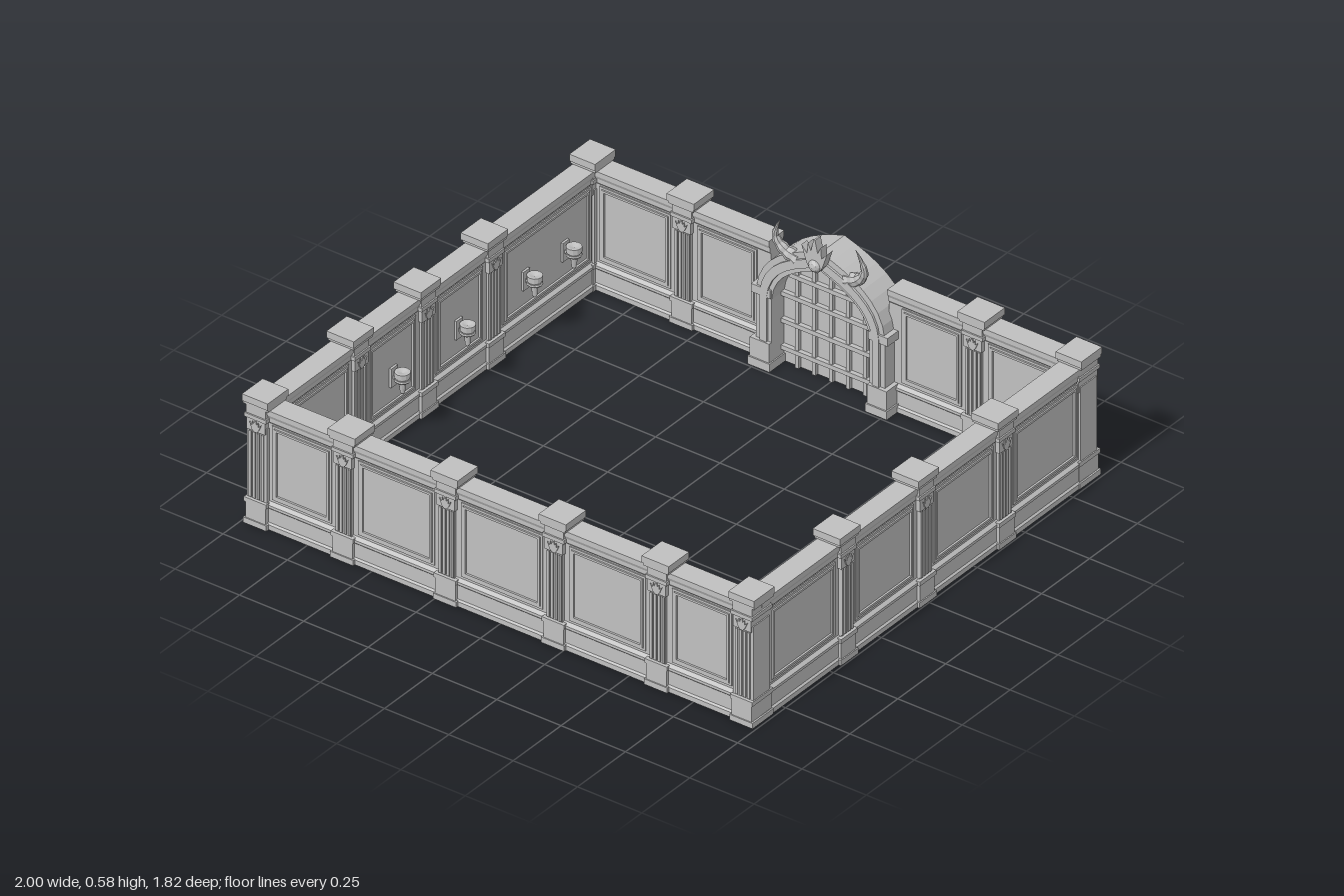
import * as THREE from 'three';

const stone = new THREE.MeshStandardMaterial({ color: 0xc0c0c0, flatShading: true });
stone.name = 'grey stone';

function add(parent, name, geometry, x = 0, y = 0, z = 0) {
  const mesh = new THREE.Mesh(geometry, stone);
  mesh.name = name;
  mesh.position.set(x, y, z);
  parent.add(mesh);
  return mesh;
}

// Box standing on its given bottom height
function block(parent, name, w, h, d, x, y, z) {
  return add(parent, name, new THREE.BoxGeometry(w, h, d), x, y + h / 2, z);
}

function extrude(shape, depth, segments = 6) {
  return new THREE.ExtrudeGeometry(shape, { depth, bevelEnabled: false, curveSegments: segments });
}

// Symmetric shape from the points of its right half, bottom to top
function mirrored(half) {
  const left = half.map(([x, y]) => [-x, y]).reverse();
  return new THREE.Shape([...half, ...left].map(([x, y]) => new THREE.Vector2(x, y)));
}

const wallProfile = mirrored([
  [0.042, 0], [0.042, 0.018], [0.036, 0.024], [0.036, 0.075], [0.041, 0.08], [0.041, 0.09],
  [0.03, 0.1], [0.03, 0.39], [0.034, 0.395], [0.034, 0.41], [0.04, 0.422], [0.04, 0.44],
]);

const crest = mirrored([
  [0.012, 0], [0.03, 0.025], [0.05, 0.085], [0.028, 0.06], [0.025, 0.1], [0.013, 0.075], [0.003, 0.12],
]);

// Wall run along local x, with framed panels on both faces between its pillars
function wall(parent, name, stops, x, z, turn) {
  const group = new THREE.Group();
  group.name = name;
  const from = stops[0], to = stops[stops.length - 1];
  const run = extrude(wallProfile, to - from).rotateY(Math.PI / 2);
  add(group, 'wallRun', run, from, 0, 0);
  for (let i = 0; i + 1 < stops.length; i++) {
    const l = stops[i] + 0.052, r = stops[i + 1] - 0.052;
    const rect = (C, m) => new C([[l + m, 0.11 + m], [r - m, 0.11 + m], [r - m, 0.385 - m], [l + m, 0.385 - m]]
      .map(([px, py]) => new THREE.Vector2(px, py)));
    [[0, 0.068], [0.01, 0.074]].forEach(([m, depth]) => {
      const frame = rect(THREE.Shape, m);
      frame.holes.push(rect(THREE.Path, m + 0.008));
      add(group, 'panelFrame', extrude(frame, depth), 0, 0, -depth / 2);
    });
  }
  group.position.set(x, 0, z);
  group.rotation.y = turn;
  parent.add(group);
}

// Fluted pilaster running through the wall, decorated on both faces
function pillar(parent, x, z, turn, corner = false) {
  const g = new THREE.Group();
  g.name = corner ? 'cornerPillar' : 'pillar';
  const d = corner ? 0.098 : 0.09;
  block(g, 'plinth', 0.09, 0.02, d + 0.012, 0, 0, 0);
  block(g, 'base', 0.078, 0.06, d + 0.004, 0, 0.02, 0);
  block(g, 'baseTrim', 0.086, 0.016, d + 0.01, 0, 0.08, 0);
  block(g, 'shaft', corner ? 0.078 : 0.06, 0.28, d - 0.012, 0, 0.09, 0);
  for (let i = -1.5; i <= 1.5; i++) block(g, 'flute', 0.009, 0.245, d - 0.002, i * 0.016, 0.1, 0);
  block(g, 'capital', 0.07, 0.045, d, 0, 0.35, 0);
  block(g, 'capitalTrim', 0.084, 0.014, d + 0.008, 0, 0.395, 0);
  block(g, 'neck', 0.076, 0.04, d, 0, 0.41, 0);
  block(g, 'capLower', 0.096, 0.01, 0.1, 0, 0.44, 0);
  block(g, 'cap', corner ? 0.1 : 0.106, 0.025, corner ? 0.108 : 0.106, 0, 0.45, 0);
  // Small crest on each face of the capital
  const emblem = extrude(crest, d + 0.008).scale(0.45, 0.38, 1);
  add(g, 'capitalCrest', emblem, 0, 0.35, -(d + 0.008) / 2);
  g.position.set(x, 0, z);
  g.rotation.y = turn;
  parent.add(g);
}

// Tapering horn along a curve
function horn(points, radius) {
  const curve = new THREE.CatmullRomCurve3(points.map((p) => new THREE.Vector3(...p)));
  const n = 12, sides = 8;
  const geo = new THREE.TubeGeometry(curve, n, radius, sides);
  const pos = geo.attributes.position, v = new THREE.Vector3();
  for (let i = 0; i < pos.count; i++) {
    const t = Math.floor(i / (sides + 1)) / n;
    const c = curve.getPointAt(t);
    const ridge = Math.floor(i / (sides + 1)) % 2 ? 0.9 : 1.05;
    v.fromBufferAttribute(pos, i).sub(c).multiplyScalar((1 - 0.97 * t) * ridge).add(c);
    pos.setXYZ(i, v.x, v.y, v.z);
  }
  geo.computeVertexNormals();
  return geo;
}

function hornPair(parent, name, points, radius, y, z) {
  for (const s of [-1, 1]) add(parent, name, horn(points.map(([a, b, c]) => [a * s, b, c]), radius), 0, y, z);
}

// Points of a slightly pointed arch, from left foot to right foot
function archPoints(hw, spring, peak) {
  const rise = peak - spring;
  const p = new THREE.Path();
  p.moveTo(-hw, 0);
  p.lineTo(-hw, spring);
  p.bezierCurveTo(-hw * 0.96, spring + rise * 0.6, -hw * 0.45, peak - 0.035, 0, peak);
  p.bezierCurveTo(hw * 0.45, peak - 0.035, hw * 0.96, spring + rise * 0.6, hw, spring);
  p.lineTo(hw, 0);
  return p.getPoints(8);
}

function archBand(outer, inner, depth) {
  return extrude(new THREE.Shape([...archPoints(...outer), ...archPoints(...inner).reverse()]), depth);
}

function gate(parent) {
  const g = new THREE.Group();
  g.name = 'gate';
  add(g, 'arch', archBand([0.25, 0.28, 0.508], [0.19, 0.26, 0.44], 0.125), 0, 0, -0.9);
  add(g, 'archMoulding', archBand([0.232, 0.275, 0.485], [0.205, 0.265, 0.455], 0.141), 0, 0, -0.908);
  add(g, 'door', extrude(new THREE.Shape(archPoints(0.195, 0.262, 0.445)), 0.02), 0, 0, -0.86);
  // Gate jambs
  for (const s of [-1, 1]) {
    block(g, 'jambPlinth', 0.085, 0.03, 0.15, s * 0.228, 0, -0.832);
    block(g, 'jambBase', 0.075, 0.07, 0.142, s * 0.228, 0.03, -0.833);
    block(g, 'jambImpost', 0.075, 0.03, 0.138, s * 0.228, 0.265, -0.837);
  }
  // Iron bars over the door
  for (let i = -2; i <= 2; i++) {
    const x = i * 0.066;
    block(g, 'doorBar', 0.014, 0.262 + 0.17 * Math.sqrt(1 - (x / 0.2) ** 2), 0.045, x, 0, -0.85);
  }
  for (const y of [0.05, 0.15, 0.25, 0.33]) block(g, 'doorStrap', y > 0.3 ? 0.32 : 0.38, 0.016, 0.052, 0, y, -0.85);
  // Crown and horns over the arch
  add(g, 'crown', extrude(crest, 0.03), 0, 0.452, -0.772);
  add(g, 'crownBoss', new THREE.IcosahedronGeometry(0.025, 1), 0, 0.475, -0.752);
  hornPair(g, 'archHorn', [[0.1, 0.44, -0.01], [0.145, 0.462, 0], [0.173, 0.505, 0.01], [0.162, 0.55, 0.016], [0.146, 0.582, 0.02]],
    0.028, 0, -0.782);
  parent.add(g);
}

// Horned round shield on the inside of the front wall
function shield(parent) {
  const g = new THREE.Group();
  g.name = 'shield';
  add(g, 'shieldDisc', new THREE.CylinderGeometry(0.075, 0.08, 0.018, 16).rotateX(-Math.PI / 2), 0, 0, 0.01);
  add(g, 'shieldRim', new THREE.TorusGeometry(0.076, 0.008, 6, 16));
  add(g, 'shieldBoss', new THREE.SphereGeometry(0.022, 10, 6).scale(1, 1.3, 0.4));
  for (const s of [-1, 1]) {
    const bar = block(g, 'shieldBar', 0.012, 0.1, 0.006, s * 0.034, -0.05, -0.001);
    bar.rotation.z = s * 0.3;
  }
  add(g, 'shieldPoint', new THREE.ConeGeometry(0.018, 0.045, 4).rotateZ(Math.PI), 0, -0.095, 0.008);
  hornPair(g, 'shieldHorn', [[0.05, 0.055, 0], [0.09, 0.065, 0], [0.108, 0.095, 0], [0.088, 0.14, 0]], 0.018, 0, 0.008);
  g.position.set(0, 0.26, 0.811);
  parent.add(g);
}

// Wall sconce with a pointed cup
function sconce(parent, z) {
  const g = new THREE.Group();
  g.name = 'sconce';
  block(g, 'sconcePlate', 0.01, 0.07, 0.034, -0.036, -0.035, 0);
  block(g, 'sconceArm', 0.035, 0.012, 0.014, -0.02, -0.006, 0);
  add(g, 'sconceRing', new THREE.TorusGeometry(0.022, 0.005, 6, 12).rotateX(Math.PI / 2));
  const cup = [[0, -0.055], [0.008, -0.045], [0.012, -0.01], [0.026, 0.012], [0.026, 0.03], [0.018, 0.03], [0, 0.024]];
  add(g, 'sconceCup', new THREE.LatheGeometry(cup.map(([r, y]) => new THREE.Vector2(r, y)), 12));
  g.position.set(-0.876, 0.22, z);
  parent.add(g);
}

export function createModel() {
  const model = new THREE.Group();
  model.name = 'walledCourtyard';
  const X = 0.945, Z = 0.854, quarter = Math.PI / 2;
  const front = [-0.61, -0.21, 0.21, 0.61], back = 0.565;
  const leftStops = [-0.415, 0, 0.41], rightStops = [-0.29, 0.06, 0.41];
  const along = (zs) => [Z, ...zs, -Z].map((z) => -z).sort((a, b) => a - b);

  wall(model, 'frontWall', [-X, ...front, X], 0, Z, 0);
  wall(model, 'backWallRight', [-X, -back, -0.23], 0, -Z, 0);
  wall(model, 'backWallLeft', [0.23, back, X], 0, -Z, 0);
  wall(model, 'leftWall', along(leftStops), X, 0, quarter);
  wall(model, 'rightWall', along(rightStops), -X, 0, quarter);

  front.forEach((x) => pillar(model, x, Z, 0));
  leftStops.forEach((z) => pillar(model, X, z, quarter));
  rightStops.forEach((z) => pillar(model, -X, z, quarter));
  for (const s of [-1, 1]) {
    pillar(model, s * back, -Z, 0);
    for (const t of [-1, 1]) pillar(model, s * X, t * Z, 0, true);
  }

  gate(model);
  shield(model);
  [-0.665, -0.46, -0.11, 0.23, 0.605].forEach((z) => sconce(model, z));
  return model;
}
